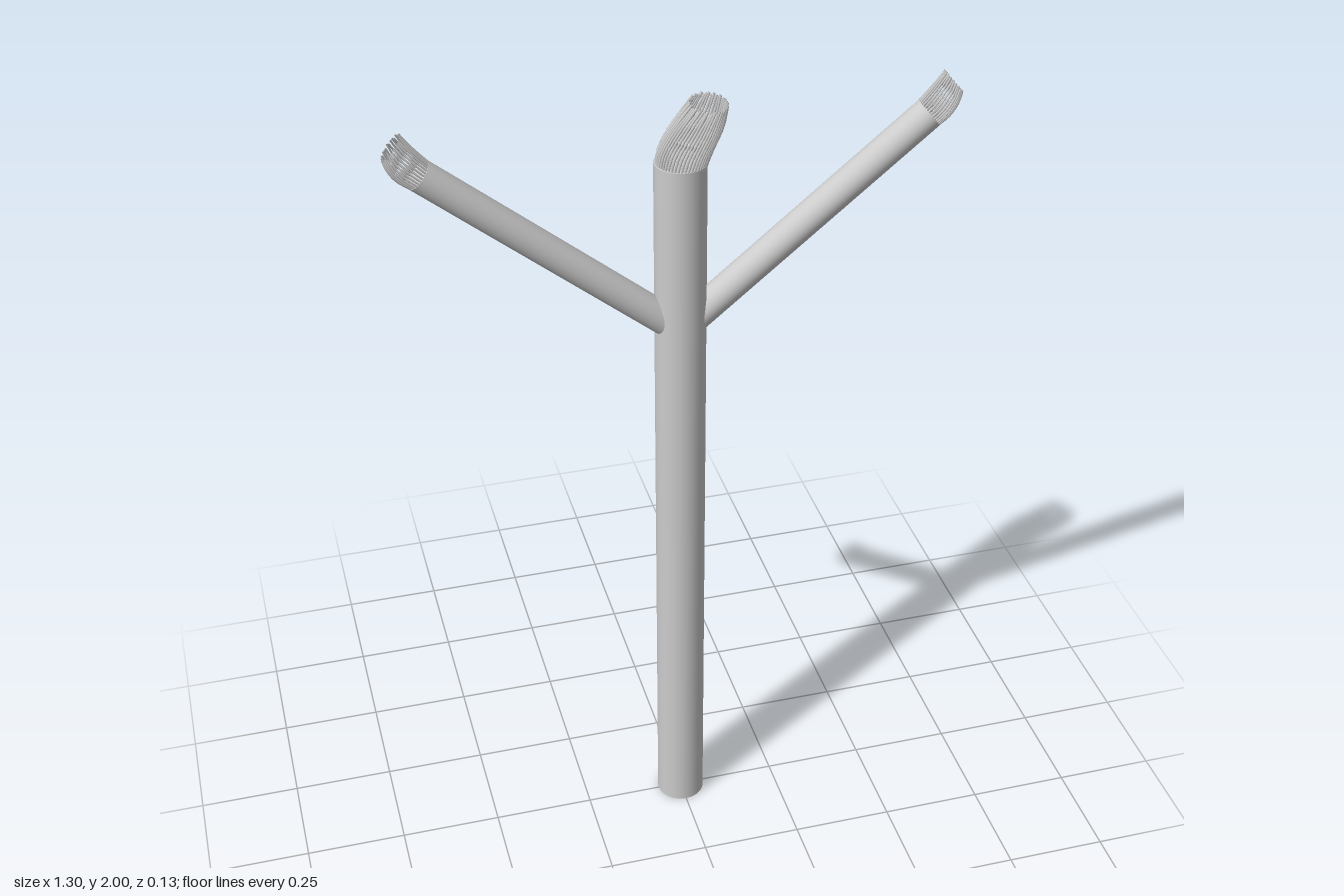
import * as THREE from 'three';
import { mergeGeometries } from 'three/addons/utils/BufferGeometryUtils.js';

const V = (x, y, z = 0) => new THREE.Vector3(x, y, z);
const UP = V(0, 1, 0);
const wood = new THREE.MeshStandardMaterial({ color: 0xcccccc });
const fibre = new THREE.MeshStandardMaterial({ color: 0xcccccc, side: THREE.DoubleSide });

// Closed round pole between two points
function pole(name, a, b, radius) {
  const axis = b.clone().sub(a);
  const mesh = new THREE.Mesh(new THREE.CylinderGeometry(radius, radius, axis.length(), 32), wood);
  mesh.position.copy(a).add(b).multiplyScalar(0.5);
  mesh.quaternion.setFromUnitVectors(UP, axis.normalize());
  mesh.name = name;
  return mesh;
}

// Tuft of thin bristles: each follows the same angle through a stack of rings.
// Ring = { c: centre, r: radius in the xy plane, z: radius along z }
function tuft(name, axis, rings, count, thickness) {
  const side = V(axis.y, -axis.x, 0).normalize();
  const bristles = [];
  for (let i = 0; i < count; i++) {
    const t = (i / count) * Math.PI * 2;
    const points = rings.map(({ c, r, z }) =>
      c.clone().addScaledVector(side, Math.cos(t) * r).add(V(0, 0, Math.sin(t) * z)));
    // Slightly uneven tips
    points[points.length - 1].y -= 0.006 * (0.5 + 0.5 * Math.sin(i * 2.4));
    bristles.push(new THREE.TubeGeometry(new THREE.CatmullRomCurve3(points), 8, thickness, 5));
  }
  const mesh = new THREE.Mesh(mergeGeometries(bristles), fibre);
  mesh.name = name;
  return mesh;
}

export function createModel() {
  const model = new THREE.Group();
  model.name = 'forkedBrush';

  // Upright post with its swept tuft
  model.add(pole('post', V(0, 0), V(0, 1.855), 0.06));
  model.add(tuft('postTuft', UP, [
    { c: V(0, 1.845), r: 0.056, z: 0.056 },
    { c: V(0.012, 1.885, -0.001), r: 0.06, z: 0.058 },
    { c: V(0.04, 1.935, -0.005), r: 0.056, z: 0.057 },
    { c: V(0.066, 1.984, -0.01), r: 0.04, z: 0.053 },
  ], 48, 0.003));

  // Mirrored arms, each ending in a smaller tuft bent upward
  for (const [label, s] of [['left', 1], ['right', -1]]) {
    const base = V(0, 1.43), end = V(s * 0.575, 1.9);
    const axis = end.clone().sub(base).normalize();
    model.add(pole(label + 'Arm', base, end, 0.037));
    model.add(tuft(label + 'ArmTuft', axis, [
      { c: end.clone().addScaledVector(axis, -0.008), r: 0.034, z: 0.034 },
      { c: V(s * 0.598, 1.922), r: 0.038, z: 0.034 },
      { c: V(s * 0.617, 1.947), r: 0.037, z: 0.029 },
      { c: V(s * 0.628, 1.972), r: 0.032, z: 0.023 },
    ], 32, 0.0024));
  }
  return model;
}
